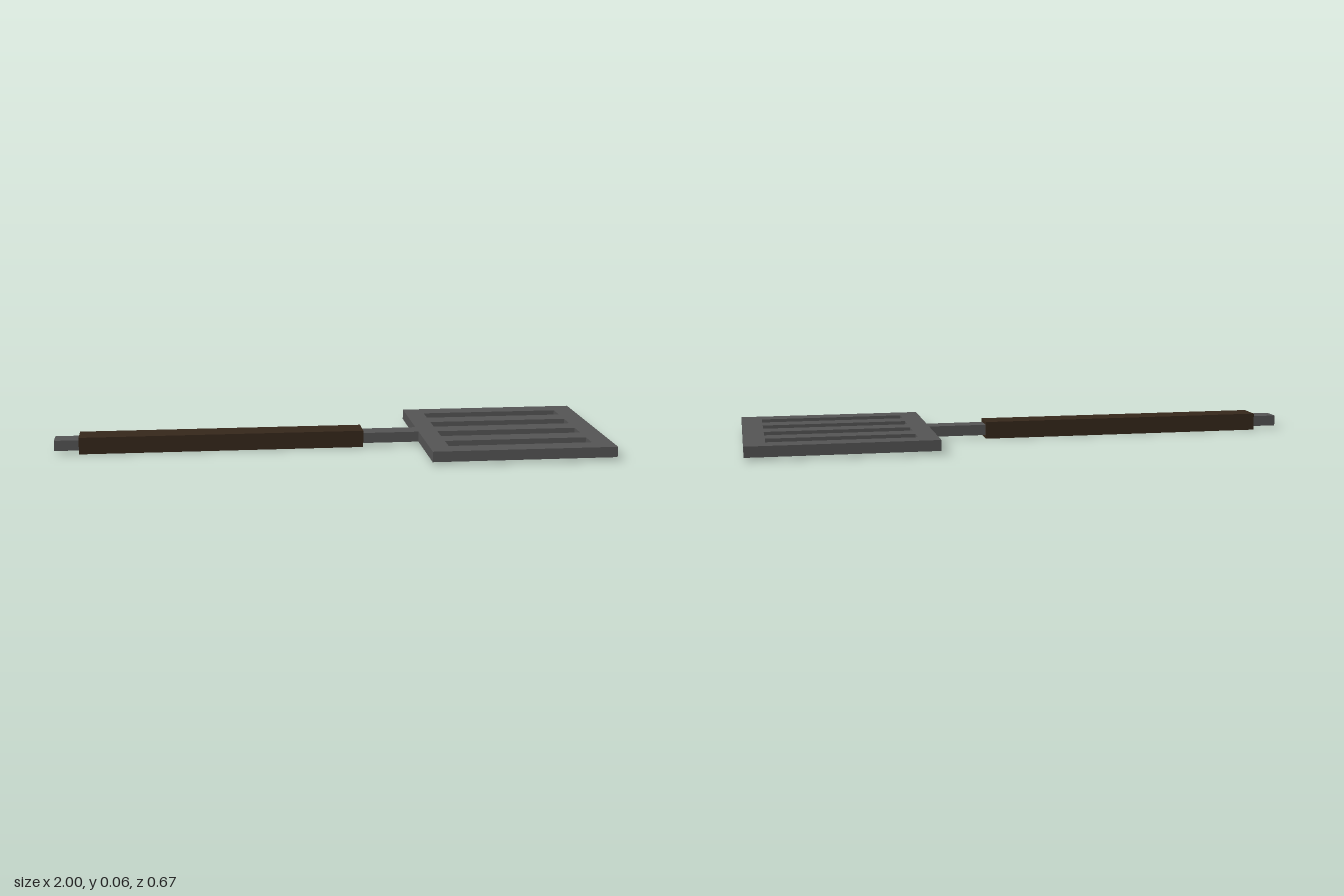
import * as THREE from 'three';

export function createModel() {
  const group = new THREE.Group();
  const metal = new THREE.MeshStandardMaterial({ color: 0x555555 });
  const wood = new THREE.MeshStandardMaterial({ color: 0x36281b });
  const midY = 0.0308, thickness = 0.038;

  // Box spanning x0..x1, centred on the tool's long axis
  function bar(name, x0, x1, height, depth, material) {
    const mesh = new THREE.Mesh(new THREE.BoxGeometry(x1 - x0, height, depth), material);
    mesh.name = name;
    mesh.position.set((x0 + x1) / 2, midY, 0);
    group.add(mesh);
  }

  function rectangle(path, x0, x1, y0, y1) {
    path.moveTo(x0, y0);
    path.lineTo(x1, y0);
    path.lineTo(x1, y1);
    path.lineTo(x0, y1);
    path.closePath();
    return path;
  }

  // Slotted blade: five ribs and four slots of equal width
  const half = 1 / 3, strip = 2 * half / 9;
  const outline = rectangle(new THREE.Shape(), half, 1, -half, half);
  for (let i = 0; i < 4; i++) {
    const y = -half + strip * (2 * i + 1);
    outline.holes.push(rectangle(new THREE.Path(), 0.404, 0.926, y, y + strip));
  }
  const bladeGeometry = new THREE.ExtrudeGeometry(outline, { depth: thickness, bevelEnabled: false });
  bladeGeometry.rotateX(-Math.PI / 2);
  bladeGeometry.translate(0, midY - thickness / 2, 0);
  const blade = new THREE.Mesh(bladeGeometry, metal);
  blade.name = 'slottedBlade';
  group.add(blade);

  // Metal shaft with a wooden grip around it
  bar('shaft', -1, half, thickness, 0.071, metal);
  bar('grip', -0.911, 0.125, midY * 2, 0.096, wood);

  return group;
}
